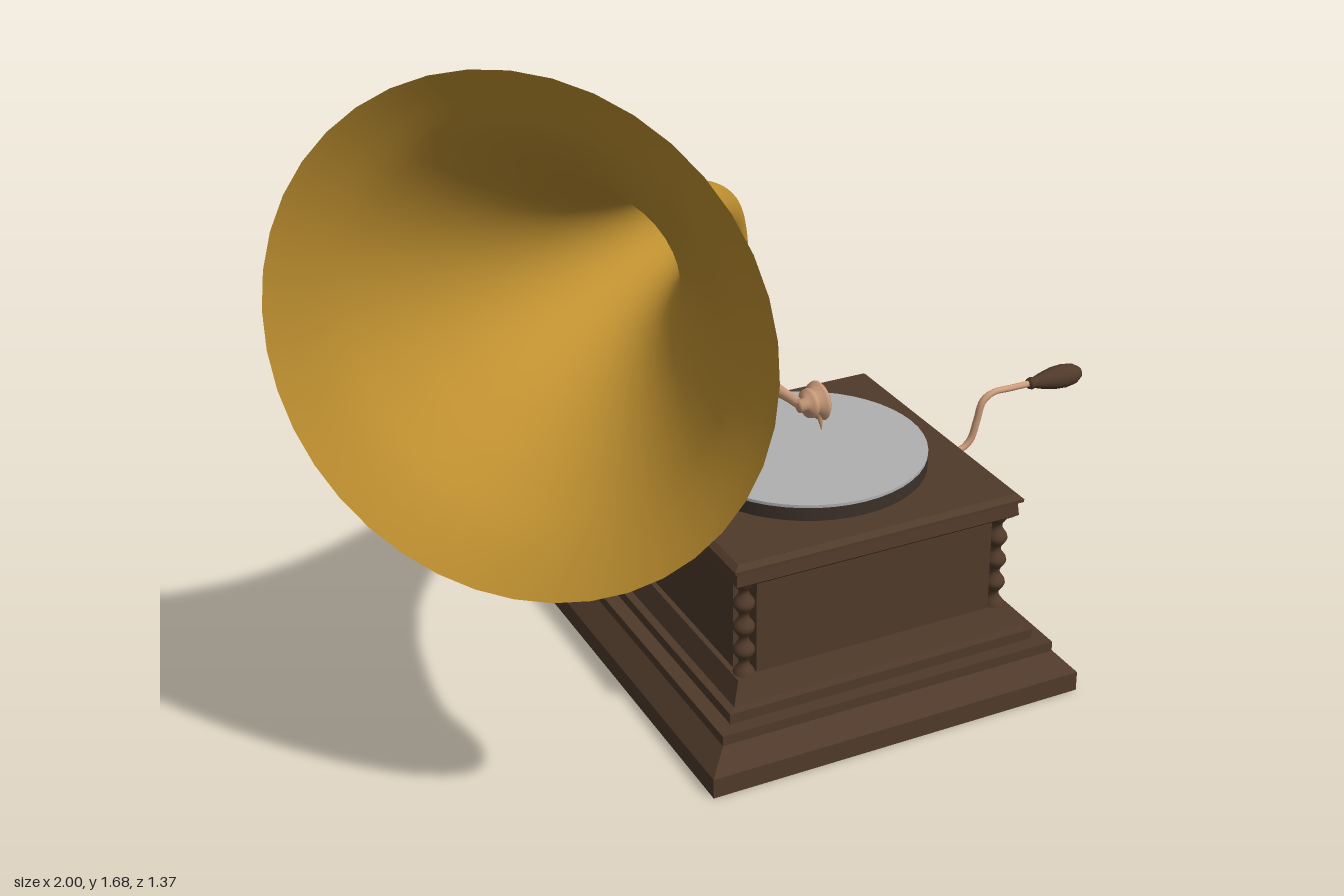
import * as THREE from 'three';

const mat = (color, extra = {}) => new THREE.MeshStandardMaterial({ color, ...extra });
const wood = mat(0x503a2a, { flatShading: true });
const woodSmooth = mat(0x503a2a);
const brass = mat(0xbf9030, { side: THREE.DoubleSide });
const copper = mat(0xcf9f7e, { side: THREE.DoubleSide });
const grey = mat(0xb0b0b0);

const CX = 0.255, CZ = -0.17; // cabinet centre
const ARM_X = 0.267, ARM_Z = -0.58; // horn and arm pivot
const v2 = (list) => list.map(([x, y]) => new THREE.Vector2(x, y));

function add(parent, name, geometry, material, x = 0, y = 0, z = 0) {
  const mesh = new THREE.Mesh(geometry, material);
  mesh.name = name;
  mesh.position.set(x, y, z);
  parent.add(mesh);
  return mesh;
}

// Square moulding: profile of [half width, height]
function squareMoulding(profile) {
  const pts = v2(profile.map(([w, y]) => [w * Math.SQRT2, y]));
  return new THREE.LatheGeometry(pts, 4, Math.PI / 4).toNonIndexed();
}

// Round tube along a curve; each point is [x, y, z, radius]
function sweep(points, steps, sides) {
  const path = new THREE.CatmullRomCurve3(points.map((p) => new THREE.Vector3(p[0], p[1], p[2])));
  const radii = new THREE.CatmullRomCurve3(points.map((p) => new THREE.Vector3(p[3], 0, 0)), false, 'catmullrom');
  const { normals, binormals } = path.computeFrenetFrames(steps);
  const pos = [], index = [];
  for (let i = 0; i <= steps; i++) {
    const t = path.getUtoTmapping(i / steps);
    const c = path.getPoint(t), r = radii.getPoint(t).x;
    for (let j = 0; j < sides; j++) {
      const a = (j / sides) * Math.PI * 2;
      const p = c.clone().addScaledVector(normals[i], r * Math.cos(a)).addScaledVector(binormals[i], r * Math.sin(a));
      pos.push(p.x, p.y, p.z);
      if (i === steps) continue;
      const k = i * sides + j, n = i * sides + ((j + 1) % sides);
      index.push(k, n, k + sides, n, n + sides, k + sides);
    }
  }
  const g = new THREE.BufferGeometry();
  g.setAttribute('position', new THREE.Float32BufferAttribute(pos, 3));
  g.setIndex(index);
  g.computeVertexNormals();
  return g;
}

function buildCabinet() {
  const cabinet = new THREE.Group();
  cabinet.name = 'cabinet';
  cabinet.position.set(CX, 0, CZ);

  // Stepped plinth and lid
  add(cabinet, 'plinth', squareMoulding([[0, 0], [0.466, 0], [0.466, 0.048], [0.422, 0.094], [0.422, 0.118],
    [0.387, 0.118], [0.387, 0.143], [0.368, 0.145], [0.348, 0.196], [0, 0.196]]), wood);
  add(cabinet, 'lid', squareMoulding([[0, 0.425], [0.343, 0.425], [0.355, 0.435], [0.352, 0.465],
    [0.362, 0.47], [0.362, 0.477], [0.348, 0.487], [0, 0.487]]), wood);

  // Box body with notched corners
  const h = 0.335, n = 0.297;
  const outline = new THREE.Shape(v2([[-n, -h], [n, -h], [n, -n], [h, -n], [h, n], [n, n],
    [n, h], [-n, h], [-n, n], [-h, n], [-h, -n], [-n, -n]]));
  const body = new THREE.ExtrudeGeometry(outline, { depth: 0.24, bevelEnabled: false });
  body.rotateX(-Math.PI / 2);
  add(cabinet, 'body', body, wood, 0, 0.19, 0);

  // Turned corner columns
  const profile = [];
  for (let i = 0; i <= 36; i++) {
    const t = i / 36;
    profile.push([0.018 + 0.007 * Math.cos(t * Math.PI * 8), 0.195 + 0.235 * t]);
  }
  const column = new THREE.LatheGeometry(v2(profile), 14);
  for (const sx of [-1, 1]) for (const sz of [-1, 1]) add(cabinet, 'cornerColumn', column, woodSmooth, sx * 0.321, 0, sz * 0.321);

  // Turntable
  add(cabinet, 'platter', new THREE.CylinderGeometry(0.283, 0.283, 0.032, 48), mat(0x3b3128), 0, 0.503, -0.005);
  add(cabinet, 'record', new THREE.CylinderGeometry(0.283, 0.283, 0.007, 48), grey, 0, 0.5225, -0.005);
  return cabinet;
}

function buildHorn() {
  // Distance along the diagonal, height, radius
  const stations = [[0, 0.74, 0.042], [0.003, 0.82, 0.044], [0.03, 0.905, 0.049], [0.095, 0.985, 0.058],
    [0.2, 1.037, 0.067], [0.354, 1.07, 0.077], [0.5, 1.089, 0.092], [0.65, 1.109, 0.119], [0.8, 1.127, 0.161],
    [0.95, 1.141, 0.23], [1.09, 1.152, 0.322], [1.19, 1.16, 0.41], [1.266, 1.167, 0.518]];
  const d = Math.SQRT1_2;
  return sweep(stations.map(([s, y, r]) => [ARM_X - s * d, y, ARM_Z + s * d, r]), 72, 40);
}

function buildBracket() {
  // Side outline as [distance behind z = 0, height]
  const s = new THREE.Shape();
  s.moveTo(0.61, 0.775);
  s.lineTo(0.645, 0.773);
  s.quadraticCurveTo(0.668, 0.755, 0.688, 0.66);
  s.lineTo(0.688, 0.505);
  s.quadraticCurveTo(0.685, 0.435, 0.625, 0.415);
  s.quadraticCurveTo(0.57, 0.405, 0.505, 0.388);
  s.lineTo(0.505, 0.424);
  s.lineTo(0.59, 0.44);
  s.quadraticCurveTo(0.643, 0.455, 0.645, 0.535);
  s.lineTo(0.55, 0.55);
  s.lineTo(0.55, 0.576);
  s.lineTo(0.59, 0.577);
  s.quadraticCurveTo(0.645, 0.59, 0.647, 0.64);
  s.lineTo(0.647, 0.69);
  s.quadraticCurveTo(0.645, 0.712, 0.61, 0.714);
  const g = new THREE.ExtrudeGeometry(s, { depth: 0.034, bevelEnabled: false, curveSegments: 10 });
  g.rotateY(Math.PI / 2);
  return g;
}

export function createModel() {
  const model = new THREE.Group();
  model.name = 'gramophone';
  model.add(buildCabinet());
  add(model, 'horn', buildHorn(), brass);

  // Collar joining horn and arm
  const collar = new THREE.LatheGeometry(v2([[0.026, 0.708], [0.05, 0.708], [0.053, 0.712],
    [0.053, 0.772], [0.05, 0.776], [0.04, 0.776]]), 32);
  add(model, 'collar', collar, copper, ARM_X, 0, ARM_Z);
  add(model, 'bracket', buildBracket(), copper, ARM_X - 0.017, 0, 0);

  // Tapered tone arm
  add(model, 'toneArm', sweep([[ARM_X, 0.73, ARM_Z, 0.031], [ARM_X, 0.67, -0.578, 0.031], [ARM_X, 0.62, -0.562, 0.03],
    [0.268, 0.592, -0.52, 0.028], [0.27, 0.583, -0.46, 0.023], [0.274, 0.584, -0.38, 0.017],
    [0.28, 0.588, -0.31, 0.013], [0.284, 0.59, -0.25, 0.012]], 40, 18), copper);

  // Sound box and needle, facing sideways
  const head = new THREE.Group();
  head.name = 'soundBox';
  head.position.set(0.278, 0.588, -0.25);
  head.rotation.y = 0.12;
  model.add(head);
  const box = new THREE.LatheGeometry(v2([[0, 0], [0.016, 0], [0.016, 0.018], [0.034, 0.022], [0.036, 0.034],
    [0.028, 0.038], [0.046, 0.05], [0.048, 0.058], [0.044, 0.062], [0, 0.062]]), 28);
  box.rotateZ(-Math.PI / 2);
  add(head, 'soundBoxShell', box, copper);
  const needle = new THREE.ConeGeometry(0.01, 0.045, 8);
  needle.rotateX(Math.PI);
  add(head, 'needle', needle, copper, 0.048, -0.045, 0.022).rotation.x = -0.2;

  // Crank rod and turned handle
  add(model, 'crankRod', sweep([[0.57, 0.417, -0.174, 0.008], [0.63, 0.417, -0.174, 0.008], [0.68, 0.419, -0.173, 0.008],
    [0.703, 0.44, -0.171, 0.009], [0.715, 0.49, -0.166, 0.009], [0.727, 0.542, -0.161, 0.009],
    [0.752, 0.56, -0.158, 0.008], [0.8, 0.561, -0.158, 0.008], [0.87, 0.561, -0.158, 0.008]], 48, 10), copper);
  const handle = new THREE.LatheGeometry(v2([[0, 0], [0.012, 0], [0.015, 0.008], [0.013, 0.016], [0.019, 0.035],
    [0.027, 0.07], [0.029, 0.1], [0.025, 0.128], [0.014, 0.146], [0, 0.15]]), 20);
  handle.rotateZ(-Math.PI / 2);
  add(model, 'crankHandle', handle, woodSmooth, 0.85, 0.561, -0.158);
  return model;
}
